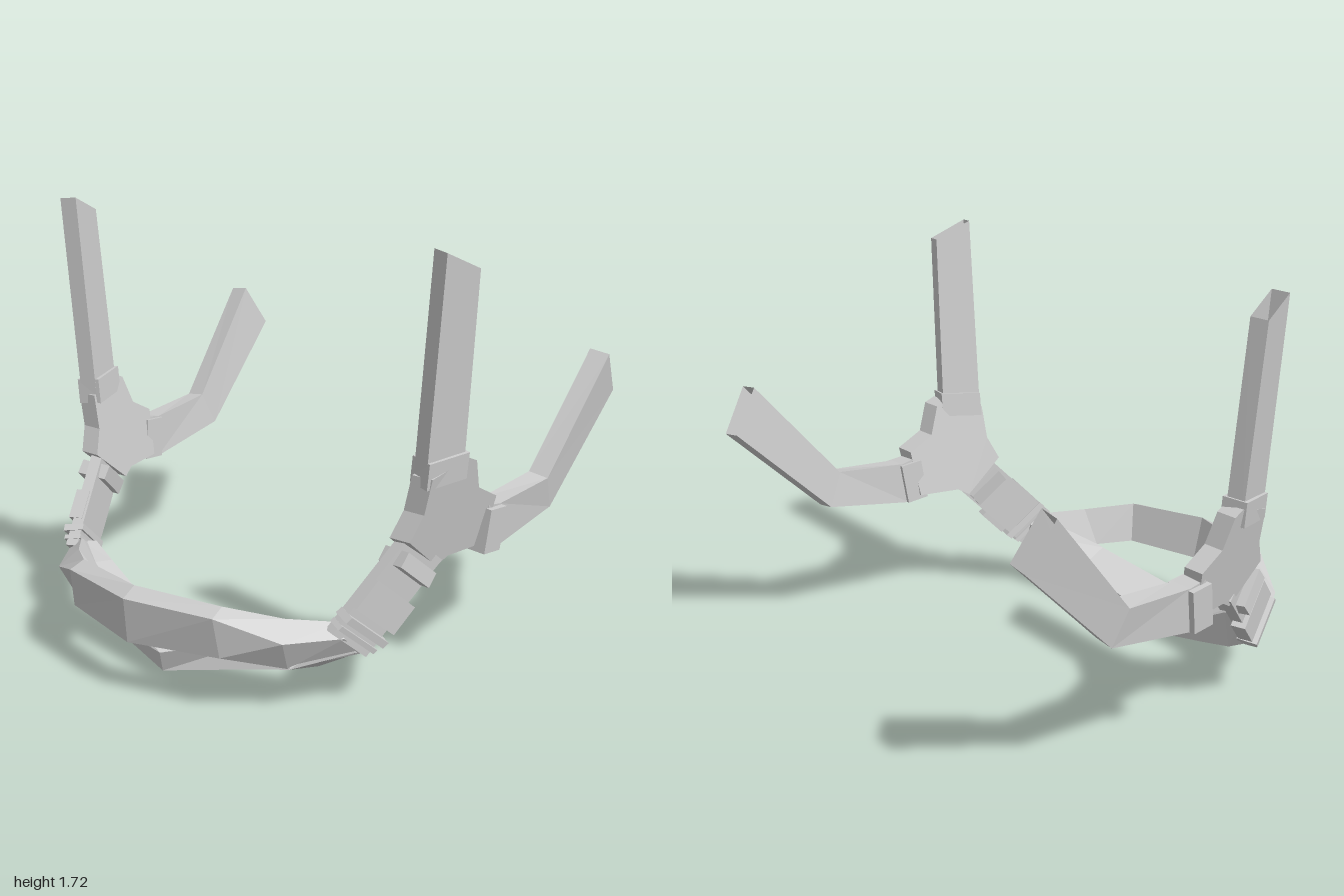
import * as THREE from 'three';

const material = new THREE.MeshStandardMaterial({ color: 0xcccccc, flatShading: true, side: THREE.DoubleSide });
const V = (p) => new THREE.Vector3(...p);

// Skin a row of four-cornered cross-sections, with optional end caps
function loft(name, rings, capStart = true, capEnd = true) {
  const tris = [];
  const quad = (a, b, c, d) => tris.push([a, b, c], [a, c, d]);
  for (let i = 0; i + 1 < rings.length; i++) {
    for (let j = 0; j < 4; j++) {
      const k = (j + 1) % 4;
      quad(rings[i][j], rings[i][k], rings[i + 1][k], rings[i + 1][j]);
    }
  }
  if (capStart) quad(...[...rings[0]].reverse());
  if (capEnd) quad(...rings[rings.length - 1]);

  // Turn the faces outwards if the sections run the other way round
  const mid = V([0, 0, 0]);
  rings.flat().forEach((p) => mid.add(p));
  mid.divideScalar(rings.length * 4);
  let volume = 0;
  for (const t of tris) {
    const [a, b, c] = t.map((p) => p.clone().sub(mid));
    volume += a.dot(b.cross(c));
  }
  if (volume < 0) tris.forEach((t) => t.reverse());

  const geometry = new THREE.BufferGeometry().setFromPoints(tris.flat());
  geometry.computeVertexNormals();
  const mesh = new THREE.Mesh(geometry, material);
  mesh.name = name;
  return mesh;
}

// Flat band: each section is [centre, half-width vector]
function band(name, thickness, sections, openEnd = false) {
  const centres = sections.map((s) => V(s[0]));
  const rings = sections.map(([, width], i) => {
    const w = V(width), c = centres[i];
    const dir = centres[Math.min(i + 1, centres.length - 1)].clone().sub(centres[Math.max(i - 1, 0)]);
    const n = dir.cross(w).setLength(thickness / 2);
    return [[-1, -1], [1, -1], [1, 1], [-1, 1]].map(([u, v]) =>
      c.clone().addScaledVector(w, u).addScaledVector(n, v));
  });
  return loft(name, rings, true, !openEnd);
}

// Piece of the lower strap between two fractions of its length
function lowerPiece(name, from, to, half, thickness) {
  const path = new THREE.CatmullRomCurve3([V([0.7, 0.285, 0.495]), V([0.76, 0.385, 0.395]), V([0.825, 0.61, 0.2])]);
  const width = [-0.25 * half, 0.66 * half, 0.74 * half];
  return band(name, thickness, [from, to].map((t) => [path.getPoint(t).toArray(), width]));
}

// Y-shaped junction plate, leaning with the side of the head
function junctionPlate() {
  const outline = [[0.27, 0.9], [0.1, 0.95], [0.055, 0.93], [0.01, 0.81], [-0.1, 0.75], [-0.08, 0.555],
    [0.1, 0.55], [0.15, 0.52], [0.32, 0.66], [0.275, 0.76]];
  const shape = new THREE.Shape(outline.map(([z, y]) => new THREE.Vector2(-z, y)));
  const geometry = new THREE.ExtrudeGeometry(shape, { depth: 0.09, bevelEnabled: false });
  geometry.rotateY(Math.PI / 2);
  const p = geometry.attributes.position;
  for (let i = 0; i < p.count; i++) {
    p.setX(i, p.getX(i) - 0.052 + 0.742 - 0.19 * p.getZ(i) + 0.2 * p.getY(i));
  }
  geometry.computeVertexNormals();
  const mesh = new THREE.Mesh(geometry, material);
  mesh.name = 'junctionPlate';
  return mesh;
}

function sideHarness(name) {
  const side = new THREE.Group();
  side.name = name;
  side.add(
    junctionPlate(),
    // Upper strap and its keeper
    band('upperStrap', 0.072, [
      [[0.875, 0.87, 0.185], [0.025, 0, -0.083]],
      [[0.942, 1.695, 0.205], [0.02, -0.035, -0.075]]], true),
    band('upperKeeper', 0.1, [
      [[0.874, 0.87, 0.182], [0.028, 0.008, -0.086]],
      [[0.884, 0.972, 0.182], [0.028, 0.008, -0.086]]]),
    // Rear strap and its keeper
    band('rearStrap', 0.085, [
      [[0.89, 0.63, -0.06], [0.005, 0.09, -0.01]],
      [[0.89, 0.615, -0.14], [0.005, 0.09, -0.01]],
      [[0.905, 0.66, -0.495], [0.01, 0.07, 0.032]],
      [[0.943, 1.078, -0.883], [0.015, 0.088, 0.055]]], true),
    band('rearKeeper', 0.125, [
      [[0.89, 0.622, -0.048], [0.005, 0.086, -0.012]],
      [[0.895, 0.613, -0.148], [0.005, 0.086, -0.012]]]),
    // Lower strap with its fittings
    lowerPiece('lowerStrap', 0, 1, 0.095, 0.05),
    lowerPiece('lowerCollar', 0.1, 0.17, 0.1, 0.07),
    lowerPiece('lowerKeeper', 0.23, 0.33, 0.105, 0.085),
    lowerPiece('lowerPad', 0.42, 0.68, 0.108, 0.06),
    lowerPiece('adjusterBuckle', 0.8, 1.12, 0.082, 0.13));
  return side;
}

// Repeat the sections of one half on the other side of the centre
function mirroredLoft(name, half) {
  const left = half.map((ring) => ring.map(V));
  const right = left.slice(1).reverse().map((ring) => ring.map((p) => V([-p.x, p.y, p.z])));
  return loft(name, [...right, ...left]);
}

export function createModel() {
  const model = new THREE.Group();
  model.name = 'chinStrap';

  // Front band of the chin cup
  model.add(mirroredLoft('chinFrontBand', [
    [[0, 0.415, 0.935], [0, 0.45, 0.875], [0, 0.27, 0.83], [0, 0.235, 0.92]],
    [[0.37, 0.41, 0.855], [0.36, 0.435, 0.79], [0.33, 0.27, 0.755], [0.38, 0.25, 0.83]],
    [[0.585, 0.325, 0.72], [0.54, 0.39, 0.65], [0.42, 0.26, 0.62], [0.56, 0.2, 0.66]],
    [[0.72, 0.32, 0.53], [0.68, 0.365, 0.5], [0.665, 0.26, 0.42], [0.725, 0.23, 0.435]]]));

  // Band passing beneath the chin
  model.add(mirroredLoft('chinUnderBand', [
    [[0, 0.13, 0.75], [0, 0.08, 0.53], [0, 0.01, 0.515], [0, 0.05, 0.735]],
    [[0.39, 0.25, 0.63], [0.37, 0.2, 0.49], [0.39, 0.1, 0.487], [0.39, 0.155, 0.683]],
    [[0.55, 0.31, 0.6], [0.535, 0.29, 0.472], [0.56, 0.143, 0.475], [0.57, 0.2, 0.66]],
    [[0.7, 0.34, 0.49], [0.67, 0.33, 0.43], [0.715, 0.23, 0.435], [0.72, 0.24, 0.46]]]));

  // Harness on both sides
  const left = sideHarness('leftHarness');
  const right = sideHarness('rightHarness');
  right.scale.x = -1;
  model.add(left, right);
  return model;
}
